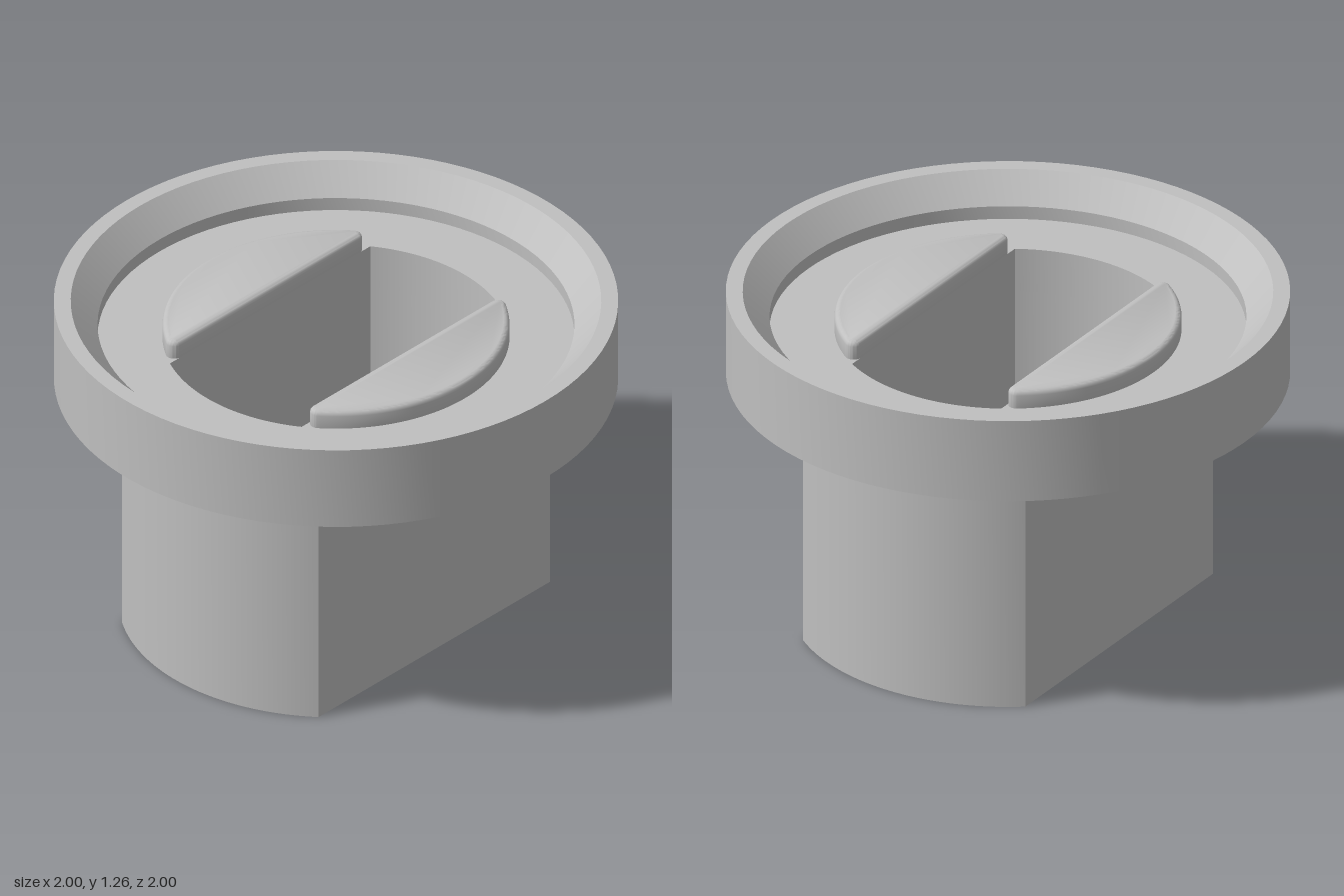
import * as THREE from 'three';
import { toCreasedNormals } from 'three/addons/utils/BufferGeometryUtils.js';

const BORE_R = 0.615, BORE_FLAT = 0.315;
const STEM_TOP = 0.94, FLOOR = 1.11, TOP = 1.26;

// Circle cut by two parallel flats at z = +-flat
function flattedCircle(target, radius, flat) {
  const a = Math.asin(flat / radius);
  target.absarc(0, 0, radius, -a, a, false);
  target.absarc(0, 0, radius, Math.PI - a, Math.PI + a, false);
  target.closePath();
  return target;
}

// Extrudes a plan shape upward from y
function extrudeUp(shape, y, depth, bevel = 0) {
  const g = new THREE.ExtrudeGeometry(shape, {
    depth, curveSegments: 48, bevelEnabled: bevel > 0,
    bevelSize: bevel, bevelThickness: bevel, bevelSegments: 4,
  });
  g.rotateX(-Math.PI / 2).translate(0, y, 0);
  return toCreasedNormals(g, 0.6);
}

export function createModel() {
  const model = new THREE.Group();
  const grey = new THREE.MeshStandardMaterial({ color: 0xbfbfbf });
  grey.name = 'grey';
  const add = (name, geometry) => {
    const mesh = new THREE.Mesh(geometry, grey);
    mesh.name = name;
    model.add(mesh);
    return mesh;
  };
  const bore = () => flattedCircle(new THREE.Path(), BORE_R, BORE_FLAT);

  // Hollow stem with two flat sides
  const stem = flattedCircle(new THREE.Shape(), 0.77, 0.47);
  stem.holes.push(bore());
  add('stem', extrudeUp(stem, 0, STEM_TOP));

  // Floor of the head, pierced by the same bore
  const floor = new THREE.Shape().absarc(0, 0, 0.845, 0, Math.PI * 2, false);
  floor.holes.push(bore());
  add('headFloor', extrudeUp(floor, STEM_TOP, FLOOR - STEM_TOP));

  // Rim with a chamfered inner edge and a short step
  const profile = [
    [0.84, STEM_TOP], [1, STEM_TOP], [1, TOP], [0.94, TOP], [0.845, 1.16], [0.845, FLOOR],
  ].map(([r, y]) => new THREE.Vector2(r, y));
  add('rim', toCreasedNormals(new THREE.LatheGeometry(profile, 96), 0.5));

  // Raised half-moon tabs with rounded tips and edges
  const bevel = 0.02, tip = 0.03;
  const cy = BORE_FLAT + tip;
  const cx = Math.sqrt((BORE_R - tip) ** 2 - cy ** 2);
  const phi = Math.atan2(cy, cx);
  const tab = new THREE.Shape();
  tab.absarc(cx, cy, tip - bevel, -Math.PI / 2, phi, false);
  tab.absarc(0, 0, BORE_R - bevel, phi, Math.PI - phi, false);
  tab.absarc(-cx, cy, tip - bevel, Math.PI - phi, Math.PI * 1.5, false);
  tab.closePath();
  const tabGeometry = extrudeUp(tab, FLOOR, 0.05, bevel);
  add('backTab', tabGeometry);
  add('frontTab', tabGeometry).rotation.y = Math.PI;

  return model;
}
